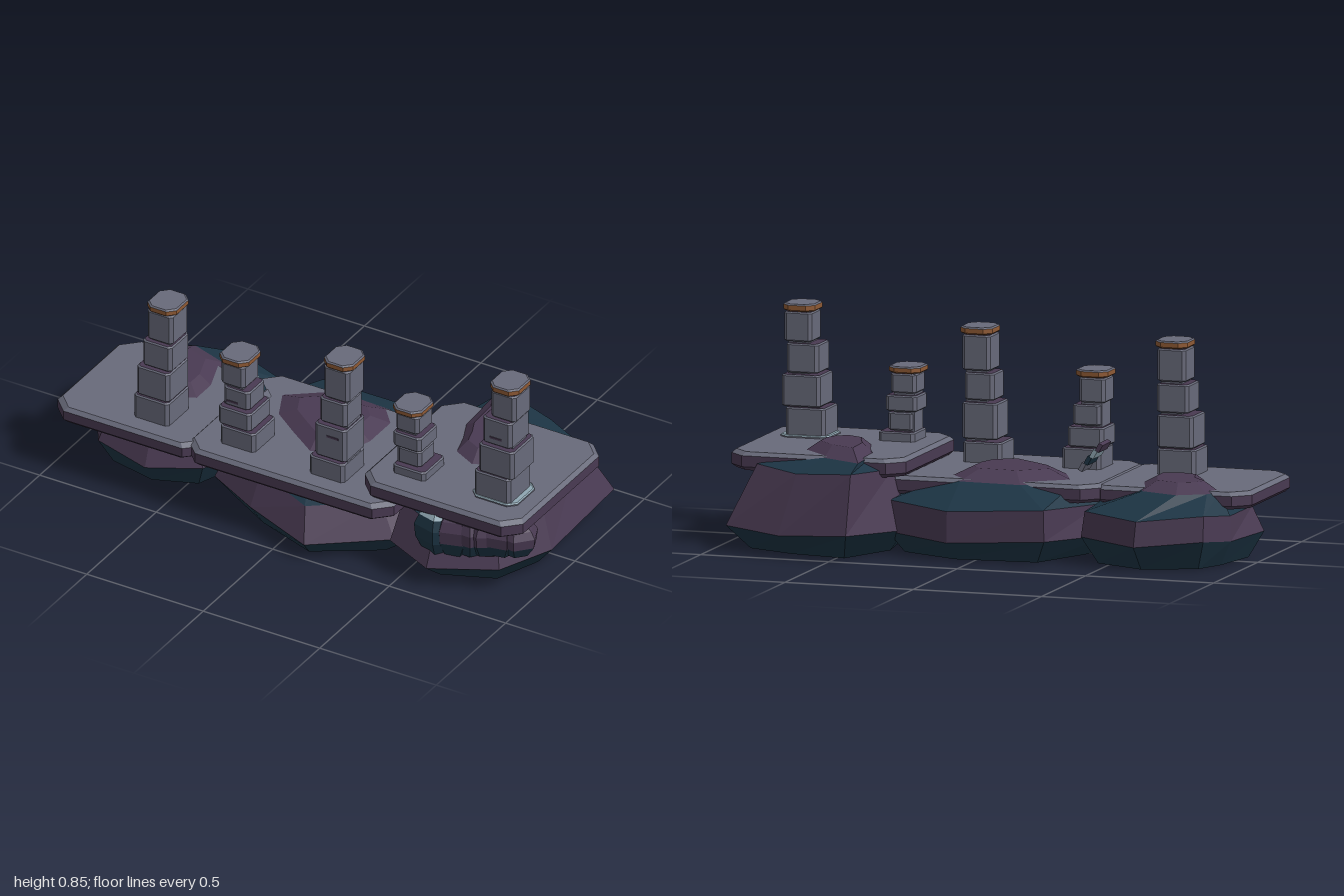
import * as THREE from 'three';

const paint = (name, color) => {
  const m = new THREE.MeshStandardMaterial({ color });
  m.name = name;
  return m;
};
const stone = paint('stone', 0x686a7a);
const plum = paint('plumRock', 0x493a52);
const teal = paint('tealRock', 0x1d3545);
const copper = paint('copper', 0x8f5a35);
const pale = paint('paleStone', 0x8fa6b2);

// Closed faceted solid through rings of [x, y, z]; bands = [bottom, ...sides, top] materials
function loft(name, rings, bands) {
  const pos = [];
  const geo = new THREE.BufferGeometry();
  const n = rings[0].length;
  const centre = r => [0, 1, 2].map(k => r.reduce((s, p) => s + p[k], 0) / n);
  bands.forEach((_, b) => {
    const start = pos.length / 3;
    for (let i = 0; i < n; i++) {
      const j = (i + 1) % n;
      if (b === 0) {
        pos.push(...centre(rings[0]), ...rings[0][i], ...rings[0][j]);
      } else if (b === bands.length - 1) {
        const r = rings[rings.length - 1];
        pos.push(...centre(r), ...r[j], ...r[i]);
      } else {
        const lo = rings[b - 1], hi = rings[b];
        pos.push(...lo[i], ...hi[i], ...lo[j], ...lo[j], ...hi[i], ...hi[j]);
      }
    }
    geo.addGroup(start, pos.length / 3 - start, b);
  });
  geo.setAttribute('position', new THREE.Float32BufferAttribute(pos, 3));
  geo.computeVertexNormals();
  const mesh = new THREE.Mesh(geo, bands);
  mesh.name = name;
  return mesh;
}

// Rectangle with cut corners at height y
function octagon(x0, x1, z0, z1, cut, y, inset) {
  x0 += inset; x1 -= inset; z0 += inset; z1 -= inset;
  return [[x1, z0 + cut], [x1, z1 - cut], [x1 - cut, z1], [x0 + cut, z1],
    [x0, z1 - cut], [x0, z0 + cut], [x0 + cut, z0], [x1 - cut, z0]].map(([x, z]) => [x, y, z]);
}

// Block with cut corners and bevelled rims
function block(name, [x0, x1, z0, z1], y0, y1, cut, bevel, side, rim, top) {
  const rings = [[y0, bevel], [y0 + bevel, 0], [y1 - bevel, 0], [y1, bevel]]
    .map(([y, inset]) => octagon(x0, x1, z0, z1, cut, y, inset));
  return loft(name, rings, [side, side, side, rim, top]);
}

// Boulder: wide outline below, crown outline breaking through the slab
function boulder(name, wide, crown, { foot, yWide, yShoulder, yCrown, yTop, lean, backLean, backRise }) {
  const mid = o => [0, 1].map(k => o.reduce((s, p) => s + p[k], 0) / o.length);
  const scaled = (o, f, y) => {
    const [cx, cz] = mid(o);
    return o.map(([x, z]) => [cx + (x - cx) * f, y, cz + (z - cz) * f]);
  };
  const wob = i => 0.01 * Math.sin(i * 2.4);
  const shoulder = wide.map(([x, z], i) => {
    const t = z < -0.1 ? backLean : lean;
    return [x + (crown[i][0] - x) * t, yShoulder + wob(i) + (z < -0.1 ? backRise : 0), z + (crown[i][1] - z) * t];
  });
  const rings = [
    scaled(wide, foot, 0),
    wide.map(([x, z], i) => [x, yWide + wob(i), z]),
    shoulder,
    crown.map(([x, z]) => [x, yCrown, z]),
    scaled(crown, 0.6, yTop),
  ];
  return loft(name, rings, [teal, teal, plum, teal, plum, plum]);
}

// Stacked column: tiers are [x0, x1, y0, y1], z is the centre
function column(name, z, tiers, cap) {
  const g = new THREE.Group();
  g.name = name;
  tiers.forEach(([x0, x1, y0, y1]) => {
    const d = Math.min(0.08, (x1 - x0) / 2 + 0.006);
    g.add(block('columnBlock', [x0, x1, z - d, z + d], y0, y1 - 0.003, 0.012, 0.005, stone, stone, plum));
  });
  // Narrow core fills the joints
  const [cx0, cx1, cy0, cy1] = cap;
  const base = tiers[0][2];
  const core = new THREE.Mesh(new THREE.BoxGeometry(0.08, cy0 - base, 0.095), stone);
  core.position.set((cx0 + cx1) / 2, (base + cy0) / 2, z);
  core.name = 'columnCore';
  g.add(core);
  // Cap with a copper band and a stone top
  const d = (cx1 - cx0) / 2 + 0.008;
  g.add(block('columnCap', [cx0, cx1, z - d, z + d], cy0, cy1, 0.028, 0.005, copper, stone, stone));
  return g;
}

export function createModel() {
  const model = new THREE.Group();
  model.name = 'ruinedTerrace';

  // Boulders
  model.add(boulder('rightBoulder',
    [[-.34, .08], [-.42, .3], [-.62, .38], [-.85, .33], [-.985, .12], [-.94, -.13], [-.88, -.27], [-.64, -.365], [-.4, -.26]],
    [[-.54, .02], [-.54, .13], [-.64, .175], [-.75, .14], [-.78, .03], [-.88, -.08], [-.85, -.14], [-.75, -.2], [-.6, -.15]],
    { foot: 0.82, yWide: 0.1, yShoulder: 0.195, yCrown: 0.268, yTop: 0.303, lean: 0.2, backLean: 0.06, backRise: 0.0 }));
  model.add(boulder('middleBoulder',
    [[.5, .12], [.42, .33], [.14, .51], [-.15, .41], [-.38, .28], [-.43, 0], [-.28, -.33], [.09, -.36], [.36, -.24]],
    [[.17, .06], [.13, .18], [.0, .245], [-.14, .15], [-.25, .07], [-.31, -.06], [-.14, -.19], [.1, -.18], [.17, -.1]],
    { foot: 0.85, yWide: 0.078, yShoulder: 0.195, yCrown: 0.272, yTop: 0.312, lean: 0.28, backLean: 0.03, backRise: 0.0 }));
  model.add(boulder('leftBoulder',
    [[.96, .1], [.87, .33], [.62, .435], [.42, .36], [.35, .12], [.3, -.22], [.43, -.515], [.71, -.47], [.945, -.375]],
    [[.72, 0], [.69, .07], [.62, .11], [.52, .06], [.49, -.04], [.45, -.13], [.44, -.345], [.6, -.26], [.72, -.14]],
    { foot: 0.78, yWide: 0.09, yShoulder: 0.235, yCrown: 0.346, yTop: 0.385, lean: 0.2, backLean: 0.4, backRise: 0.075 }));

  // Terrace slabs
  const slab = (name, area, y0, y1) =>
    model.add(block(name, area, y0, y1, 0.06, 0.014, plum, stone, stone));
  slab('rightSlab', [-1, -0.37, -0.125, 0.43], 0.21, 0.275);
  slab('middleSlab', [-0.43, 0.45, -0.18, 0.44], 0.212, 0.28);
  slab('leftSlab', [0.3, 0.98, -0.267, 0.4], 0.283, 0.352);

  // Columns
  model.add(column('farRightColumn', 0.268,
    [[-.69, -.54, .27, .375], [-.68, -.54, .375, .5], [-.66, -.535, .505, .615], [-.645, -.535, .62, .745]],
    [-.65, -.525, .745, .772]));
  model.add(column('innerRightColumn', 0.268,
    [[-.32, -.17, .275, .36], [-.33, -.19, .36, .438], [-.315, -.205, .44, .52], [-.33, -.228, .525, .62]],
    [-.34, -.215, .62, .647]));
  model.add(column('middleColumn', 0.28,
    [[.07, .22, .275, .36], [.09, .225, .365, .505], [.105, .22, .51, .615], [.12, .23, .62, .755]],
    [.115, .24, .755, .782]));
  model.add(column('innerLeftColumn', 0.22,
    [[.39, .53, .345, .39], [.4, .5, .39, .46], [.385, .505, .462, .525], [.39, .49, .53, .605]],
    [.375, .498, .605, .63]));
  model.add(column('farLeftColumn', 0.2,
    [[.73, .885, .355, .465], [.75, .9, .465, .587], [.76, .885, .59, .702], [.79, .897, .705, .818]],
    [.78, .903, .818, .846]));
  model.add(block('columnPlinth', [.715, .907, .105, .288], 0.345, 0.361, 0.03, 0.004, stone, pale, pale));

  // Thin slits on the column fronts
  [[.82, .62, .267], [-.275, .46, .327], [.17, .46, .352]].forEach(([x, y, z]) => {
    const slit = new THREE.Mesh(new THREE.BoxGeometry(0.05, 0.008, 0.008), plum);
    slit.position.set(x, y, z);
    slit.name = 'columnSlit';
    model.add(slit);
  });

  // Row of small rocks tucked below the raised slab
  for (let i = 0; i < 6; i++) {
    const t = i / 5;
    const c = [0.625 + 0.29 * t, 0.212 + 0.018 * t, 0.355 - 0.075 * t];
    const ring = (f, h) => Array.from({ length: 6 }, (_, k) => {
      const a = (k + 0.3 + i * 0.37) / 6 * Math.PI * 2;
      return [c[0] + Math.cos(a) * f * (0.098 - 0.01 * t), c[1] + h * (1 - 0.3 * t), c[2] + Math.sin(a) * f * 0.08];
    });
    const body = i ? plum : teal;
    model.add(loft('smallRock', [ring(0.6, -0.09), ring(0.95, -0.025), ring(1, 0.03), ring(0.8, 0.07), ring(0.5, 0.095)],
      [teal, teal, body, body, i ? plum : pale, i ? plum : pale]));
  }

  // Fallen rungs leaning beside the inner right column
  [plum, pale, teal, stone].forEach((m, i) => {
    const rung = new THREE.Mesh(new THREE.BoxGeometry(0.017, 0.032, 0.098), m);
    rung.position.set(-0.376 + i * 0.022, 0.392 - i * 0.025, 0.062);
    rung.rotation.z = 0.5;
    rung.name = 'fallenRung';
    model.add(rung);
  });

  return model;
}
